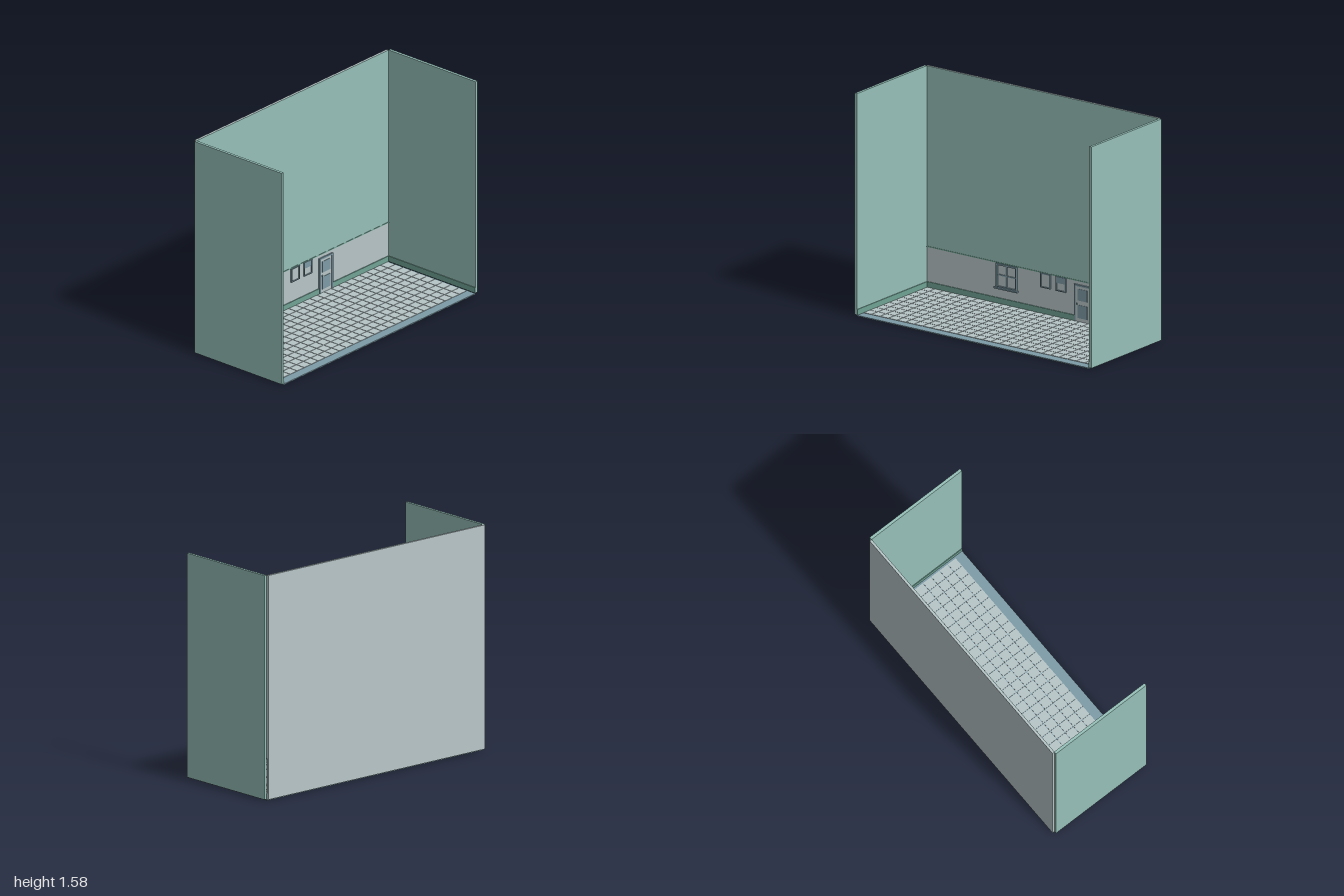
import * as THREE from 'three';

const mat = (name, color) => {
  const m = new THREE.MeshStandardMaterial({ color });
  m.name = name;
  return m;
};

export function createModel() {
  const model = new THREE.Group();
  model.name = 'room';
  const teal = mat('teal paint', 0x96c1b9);
  const green = mat('dark green trim', 0x70a394);
  const grey = mat('pale grey plaster', 0xb8c6c8);
  const blue = mat('slate blue', 0x7d9ba6);

  // Box given by its lower and upper limits on each axis
  const box = (name, material, x0, x1, y0, y1, z0, z1, parent = model) => {
    const mesh = new THREE.Mesh(new THREE.BoxGeometry(x1 - x0, y1 - y0, z1 - z0), material);
    mesh.position.set((x0 + x1) / 2, (y0 + y1) / 2, (z0 + z1) / 2);
    mesh.name = name;
    parent.add(mesh);
    return mesh;
  };
  const group = (name) => {
    const g = new THREE.Group();
    g.name = name;
    model.add(g);
    return g;
  };
  const wallZ = -0.385, floorY = 0.01, top = 1.577;

  // Rectangular frame with an open middle, standing on the back wall
  const frame = (parent, x0, x1, y0, y1, t, depth) => {
    const s = new THREE.Shape();
    s.moveTo(x0, y0).lineTo(x1, y0).lineTo(x1, y1).lineTo(x0, y1).closePath();
    const h = new THREE.Path();
    h.moveTo(x0 + t, y0 + t).lineTo(x0 + t, y1 - t).lineTo(x1 - t, y1 - t).lineTo(x1 - t, y0 + t).closePath();
    s.holes.push(h);
    const mesh = new THREE.Mesh(new THREE.ExtrudeGeometry(s, { depth, bevelEnabled: false }), blue);
    mesh.position.z = wallZ;
    mesh.name = 'frame';
    parent.add(mesh);
  };

  // Walls
  box('backWall', grey, -0.984, 0.979, floorY, top, -0.4, wallZ);
  box('upperWallPaint', teal, -0.98, 0.98, 0.3, top, wallZ, wallZ + 0.003);
  box('wallTrim', green, -0.98, 0.98, 0.295, 0.302, wallZ, wallZ + 0.005);
  for (const s of [-1, 1]) {
    const a = s * 0.98, b = s;
    box('sideWall', teal, Math.min(a, b), Math.max(a, b), floorY, top, -0.383, 0.4);
    const c = s * 0.975;
    box('sideSkirting', green, Math.min(a, c), Math.max(a, c), floorY, 0.05, wallZ, 0.4);
  }
  box('backSkirting', green, -0.98, 0.27, floorY, 0.05, wallZ, wallZ + 0.006);
  box('backSkirting', green, 0.406, 0.98, floorY, 0.05, wallZ, wallZ + 0.006);

  // Floor slab and tiles
  box('floorSlab', blue, -0.98, 0.976, 0, 0.008, wallZ, 0.4);
  const tiles = group('floorTiles');
  const nx = 27, nz = 10, pitchX = 1.945 / nx, pitchZ = 0.717 / nz, gap = 0.004;
  for (let i = 0; i < nx; i++) {
    for (let j = 0; j < nz; j++) {
      const x = -0.98 + i * pitchX, z = -0.382 + j * pitchZ;
      box('tile', grey, x, x + pitchX - gap, 0.008, 0.011, z, z + pitchZ - gap, tiles);
    }
  }

  // Large window with cross bars and sill
  const win = group('window');
  frame(win, -0.391, -0.218, 0.124, 0.295, 0.012, 0.012);
  box('pane', grey, -0.385, -0.224, 0.13, 0.29, wallZ, wallZ + 0.003, win);
  box('uprightBar', blue, -0.309, -0.3, 0.136, 0.284, wallZ, wallZ + 0.009, win);
  box('crossBar', blue, -0.38, -0.229, 0.21, 0.219, wallZ, wallZ + 0.009, win);
  box('sill', blue, -0.4, -0.207, 0.118, 0.128, wallZ, -0.36, win);

  // Two small hatches, the second one half covered
  for (const x of [-0.018, 0.112]) {
    const hatch = group('smallWindow');
    frame(hatch, x, x + 0.084, 0.194, 0.296, 0.007, 0.01);
    box('pane', grey, x + 0.005, x + 0.079, 0.199, 0.291, wallZ, wallZ + 0.003, hatch);
    if (x > 0) box('blind', blue, x + 0.006, x + 0.078, 0.25, 0.29, wallZ, wallZ + 0.006, hatch);
  }

  // Door with two panels and a handle
  const door = group('door');
  const post = 0.012;
  box('doorPost', blue, 0.268, 0.268 + post, floorY, 0.272, wallZ, wallZ + 0.01, door);
  box('doorPost', blue, 0.406 - post, 0.406, floorY, 0.272, wallZ, wallZ + 0.01, door);
  box('doorLintel', blue, 0.268 + post, 0.406 - post, 0.26, 0.272, wallZ, wallZ + 0.01, door);
  box('doorLeaf', grey, 0.28, 0.394, floorY, 0.26, wallZ, wallZ + 0.006, door);
  for (const [y0, y1] of [[0.036, 0.129], [0.16, 0.242]]) {
    box('doorPanel', blue, 0.298, 0.378, y0, y1, wallZ, wallZ + 0.008, door);
  }
  const knob = new THREE.Mesh(new THREE.SphereGeometry(0.006, 12, 8), blue);
  knob.position.set(0.293, 0.138, wallZ + 0.011);
  knob.name = 'doorKnob';
  door.add(knob);

  return model;
}
